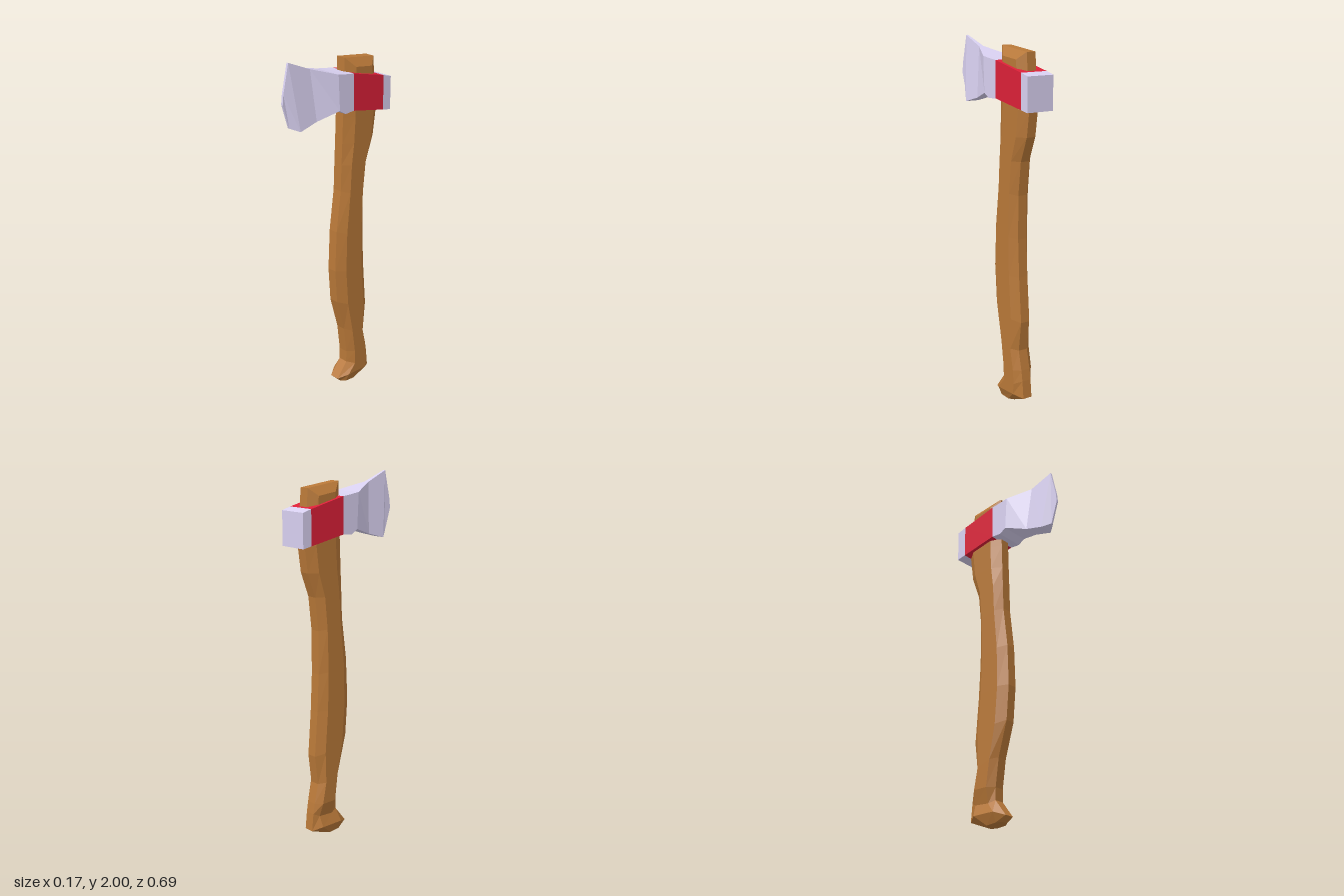
import * as THREE from 'three';

// Skins closed rings of points with flat faces; capTris lists the end-cap triangles.
function loft(name, rings, capTris, color) {
  const pos = [];
  const tri = (a, b, c) => pos.push(...a, ...b, ...c);
  for (let i = 0; i < rings.length - 1; i++) {
    const a = rings[i], b = rings[i + 1];
    for (let j = 0; j < a.length; j++) {
      const k = (j + 1) % a.length;
      tri(a[j], a[k], b[k]);
      tri(a[j], b[k], b[j]);
    }
  }
  const first = rings[0], last = rings[rings.length - 1];
  for (const [i, j, k] of capTris) {
    tri(first[i], first[k], first[j]);
    tri(last[i], last[j], last[k]);
  }
  const geo = new THREE.BufferGeometry();
  geo.setAttribute('position', new THREE.Float32BufferAttribute(pos, 3));
  geo.computeVertexNormals();
  const mesh = new THREE.Mesh(geo, new THREE.MeshStandardMaterial({ color, flatShading: true }));
  mesh.name = name;
  return mesh;
}

// Octagonal handle section: front and back edges, lift of the side edges, half-widths.
function handleRing([zf, yf, zb, yb, lift = 0, right = 0.063, left = right]) {
  const n = right < 0.05 ? 0.018 : 0.028;
  const at = (x, t, dy) => [x, yf + (yb - yf) * t + dy, zf + (zb - zf) * t];
  return [
    at(-n, 0, 0), at(n, 0, 0), at(right, 0.24, lift), at(right, 0.79, lift),
    at(n, 1, 0), at(-n, 1, 0), at(-left, 0.79, lift), at(-left, 0.24, lift),
  ];
}

// Four-cornered head section: top and bottom edges, each with its half-width.
function headRing([zt, yt, wt, zb, yb, wb]) {
  return [[-wb, yb, zb], [wb, yb, zb], [wt, yt, zt], [-wt, yt, zt]];
}

export function createModel() {
  const group = new THREE.Group();
  group.name = 'axe';
  const WOOD = 0xb87838, STEEL = 0xd8d0f0, RED = 0xdc2038;

  // Curved handle, from the flared foot to the ridged top
  const handle = [
    [-0.04, 0.01, -0.155, 0, 0, 0.04],
    [-0.01, 0.04, -0.255, 0.04, 0.02, 0.063],
    [-0.08, 0.13, -0.245, 0.14, -0.015, 0.063, 0.042],
    [-0.08, 0.2, -0.235, 0.2],
    [-0.06, 0.36, -0.21, 0.31],
    [-0.005, 0.556, -0.23, 0.476],
    [0.01, 0.757, -0.21, 0.73],
    [0, 0.995, -0.2, 0.94],
    [-0.03, 1.23, -0.2, 1.18],
    [-0.035, 1.38, -0.22, 1.365],
    [-0.04, 1.5, -0.27, 1.5],
    [-0.045, 1.645, -0.29, 1.645],
    [-0.055, 1.965, -0.265, 1.94, -0.045],
  ].map(handleRing);
  const octCap = [[0, 1, 4], [0, 4, 5], [1, 2, 3], [1, 3, 4], [5, 6, 7], [5, 7, 0]];
  group.add(loft('handle', handle, octCap, WOOD));

  // Head, from the flat poll at the back to the cutting edge at the front
  const W = 0.083;
  const head = [
    [-0.345, 1.825, W, -0.345, 1.64, W],
    [-0.29, 1.84, W, -0.29, 1.65, W],
    [-0.07, 1.89, W, -0.07, 1.69, W],
    [-0.01, 1.897, W, -0.01, 1.685, W],
    [0.04, 1.905, W, 0.03, 1.71, W],
    [0.175, 1.945, 0.015, 0.155, 1.67, 0.042],
    [0.31, 2.0, 0.006, 0.265, 1.64, 0.042],
    [0.345, 1.845, 0.006, 0.31, 1.66, 0.006],
    [0.35, 1.8, 0.006, 0.35, 1.79, 0.006],
  ].map(headRing);
  const quadCap = [[0, 1, 2], [0, 2, 3]];
  group.add(loft('poll', head.slice(0, 2), quadCap, STEEL));
  group.add(loft('redBand', head.slice(1, 3), quadCap, RED));
  group.add(loft('blade', head.slice(2), quadCap, STEEL));

  return group;
}
